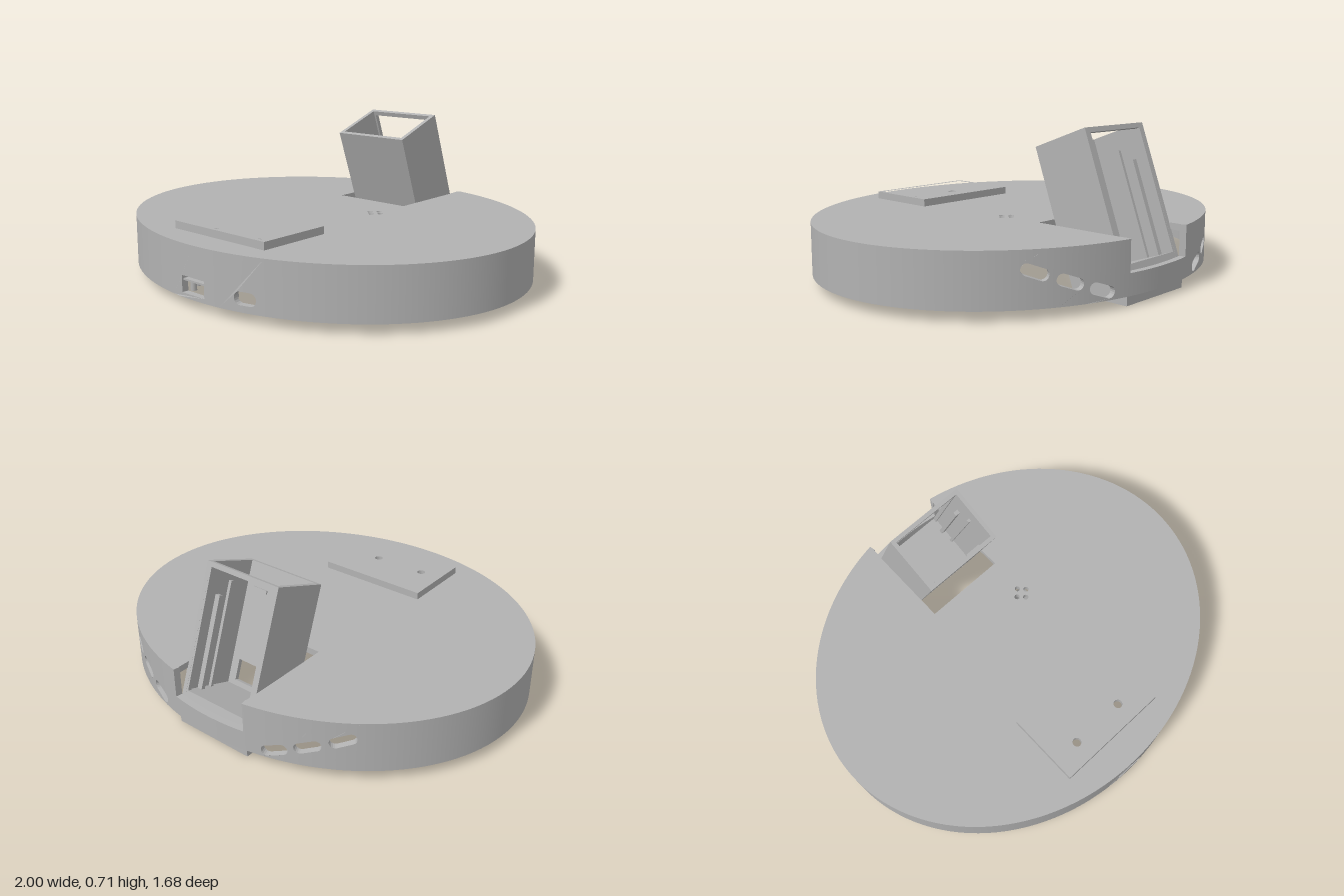
import * as THREE from 'three';
import { mergeGeometries } from 'three/addons/utils/BufferGeometryUtils.js';

const V = (x, y) => new THREE.Vector2(x, y);
const RX = 1, RZ = 0.842, WALL = 0.03, Y0 = 0.045, Y1 = 0.28, PLATE_Y = 0.25;
const TILT = THREE.MathUtils.degToRad(20), S = Math.sin(TILT), C = Math.cos(TILT);
const FOOT_Z = -0.532, TOWER_H = 0.649, TOWER_D = 0.288;

const rect = (x0, x1, y0, y1) => [V(x0, y0), V(x1, y0), V(x1, y1), V(x0, y1)];
const circle = (x, y, r, n = 20) => Array.from({ length: n }, (_, i) =>
  V(x + r * Math.cos(i / n * Math.PI * 2), y + r * Math.sin(i / n * Math.PI * 2)));

// rounded slot outline, tilted by t, squeezed along the first axis by k
function slot(cx, cy, half, r, t = 0, k = 1) {
  return Array.from({ length: 20 }, (_, i) => {
    const a = -Math.PI / 2 + (i % 10) / 9 * Math.PI + (i < 10 ? 0 : Math.PI);
    const x = (i < 10 ? 1 : -1) * (half - r) + r * Math.cos(a), y = r * Math.sin(a);
    return V(cx + (x * Math.cos(t) - y * Math.sin(t)) / k, cy + x * Math.sin(t) + y * Math.cos(t));
  });
}

function extrude(outline, holes, depth) {
  const shape = new THREE.Shape(outline);
  shape.holes = holes.map(h => new THREE.Path(h));
  return new THREE.ExtrudeGeometry(shape, { depth, bevelEnabled: false });
}

// outline in (x, z), raised from y0 to y1
function flat(outline, holes, y0, y1) {
  const flip = pts => pts.map(p => V(p.x, -p.y));
  return extrude(flip(outline), holes.map(flip), y1 - y0).rotateX(-Math.PI / 2).translate(0, y0, 0);
}

// outline in (z, y), extruded from x0 to x1
function slab(pts, x0, x1) {
  return extrude(pts.map(([z, y]) => V(-z, y)), [], x1 - x0).rotateY(Math.PI / 2).translate(x0, 0, 0);
}

// piece of the elliptical wall between two angles, drawn flat and then bent
function wallPanel(t0, t1, holes = [], top = Y1) {
  const n = holes.length ? 6 : 1, low = [], high = [];
  for (let i = 0; i <= n; i++) {
    const t = t0 + (t1 - t0) * i / n;
    low.push(V(t, Y0));
    high.unshift(V(t, top));
  }
  let g = extrude([...low, ...high], holes, 1);
  if (g.index) g = g.toNonIndexed();
  const p = g.attributes.position;
  for (let i = 0; i < p.count; i++) {
    const t = p.getX(i), inset = WALL * (1 - p.getZ(i));
    p.setXYZ(i, (RX - inset) * Math.sin(t), p.getY(i), (RZ - inset) * Math.cos(t));
  }
  g.computeVertexNormals();
  // smooth the curved faces, keep the cut edges sharp
  const nor = g.attributes.normal, e = new THREE.Vector3(), f = new THREE.Vector3();
  for (let i = 0; i < p.count; i++) {
    e.set(p.getX(i) / RX ** 2, 0, p.getZ(i) / RZ ** 2).normalize();
    const d = f.fromBufferAttribute(nor, i).dot(e);
    if (Math.abs(d) > 0.9) nor.setXYZ(i, e.x * Math.sign(d), 0, e.z * Math.sign(d));
  }
  return g;
}

function plainWall(t0, t1, top = Y1) {
  const n = Math.ceil((t1 - t0) / 0.05), out = [];
  for (let i = 0; i < n; i++) out.push(wallPanel(t0 + (t1 - t0) * i / n, t0 + (t1 - t0) * (i + 1) / n, [], top));
  return out;
}

// hollow post hanging from the plate
function tube(r, inner, y0, y1, boreTop) {
  const pts = [V(0, boreTop), V(inner, boreTop), V(inner, y0), V(r, y0), V(r, y1)];
  const parts = [];
  for (let i = 0; i < pts.length - 1; i++) parts.push(new THREE.LatheGeometry([pts[i], pts[i + 1]], 28));
  return mergeGeometries(parts);
}

export function createModel() {
  const model = new THREE.Group();
  const grey = new THREE.MeshStandardMaterial({ color: 0xb2b2b2 });
  grey.name = 'plain grey';
  const add = (name, geo, parent = model) => {
    const m = new THREE.Mesh(geo, grey);
    m.name = name;
    parent.add(m);
    return m;
  };

  // side wall: front port and slot, three sloping vents each side, low gap at the back
  const vents = [[2.498, 0.19], [2.650, 0.14], [2.798, 0.09]];
  const cuts = [2.42, 2.574, 2.724, 2.872], gap = Math.PI - 0.201;
  const wall = [
    wallPanel(-0.13, 0.15, [rect(-0.07, 0.07, 0.065, 0.14)]),
    wallPanel(0.15, 0.42, [slot(0.282, 0.103, 0.053, 0.028)]),
    ...plainWall(0.42, cuts[0]), ...plainWall(-cuts[0], -0.13),
    ...plainWall(cuts[3], gap), ...plainWall(-gap, -cuts[3]),
    ...plainWall(gap, 2 * Math.PI - gap, 0.14),
  ];
  vents.forEach(([t, y], i) => {
    wall.push(wallPanel(cuts[i], cuts[i + 1], [slot(t, y, 0.06, 0.025, -TILT, 0.95)]));
    wall.push(wallPanel(-cuts[i + 1], -cuts[i], [slot(-t, y, 0.06, 0.025, TILT, 0.95)]));
  });
  add('sideWall', mergeGeometries(wall));

  // top plate with the tower opening, display pocket, screw holes and sound holes
  const rim = [], N = 128, inset = 0.015;
  for (let i = 0; i <= N; i++) {
    const t = -gap + 2 * gap * i / N;
    rim.push(V((RX - inset) * Math.sin(t), (RZ - inset) * Math.cos(t)));
  }
  rim.push(V(0.2, -0.33), V(-0.2, -0.33));
  const pocket = [V(-0.22, 0.4), V(0.22, 0.4), V(0.22, 0.64), V(0.19, 0.64), V(0.19, 0.55), V(0.08, 0.55),
    V(0.08, 0.64), V(-0.08, 0.64), V(-0.08, 0.55), V(-0.19, 0.55), V(-0.19, 0.64), V(-0.22, 0.64)];
  const screws = [-0.135, 0.135].map(x => circle(x, 0.6, 0.021));
  const sound = [[0.03, 0], [-0.03, 0], [0, 0.03], [0, -0.03]].map(([x, z]) => circle(0.188 + x, -0.122 + z, 0.013, 14));
  add('topPlate', flat(rim, [pocket, ...screws, ...sound], PLATE_Y, Y1));
  add('displayFloor', flat(rect(-0.265, 0.265, 0.35, 0.69), screws, 0.275, 0.281));
  add('displayFrame', flat(rect(-0.28, 0.28, 0.342, 0.7), [rect(-0.26, 0.26, 0.354, 0.68)], Y1, 0.315));

  // feet, speaker ring and port guide pins under the plate
  for (const side of [-1, 1]) {
    for (const [x, z] of [[0.78, 0], [0.468, 0.537]])
      add('footPost', tube(0.043, 0.022, 0, 0.255, 0.12)).position.set(side * x, 0, z);
    for (const [x, z] of [[0.08, 0.77], [0.12, 0.715]])
      add('guidePin', new THREE.CylinderGeometry(0.014, 0.014, 0.2, 14)).position.set(side * x, 0.155, z);
  }
  add('speakerRing', tube(0.052, 0.036, 0.1, 0.255, 0.249)).position.set(0.188, 0, -0.122);
  add('portShelf', new THREE.BoxGeometry(0.13, 0.008, 0.03)).position.set(0, 0.122, 0.82);

  // leaning tower: side walls and sloping floor cut level at the bottom
  const P = (u, v) => [FOOT_Z + u * S - v * C, u * C + v * S];
  const backFoot = [[-0.81, 0.08], [-0.81, 0], [FOOT_Z, 0]];
  const sidePts = [P(TOWER_H, 0), P(TOWER_H, TOWER_D), ...backFoot];
  add('towerSide', slab(sidePts, 0.18, 0.2));
  add('towerSide', slab(sidePts, -0.2, -0.18));
  add('towerFloor', slab([P(0.065, 0), P(0.065, TOWER_D), ...backFoot], -0.18, 0.18));

  // parts square to the leaning axis
  const tower = new THREE.Group();
  tower.name = 'towerInner';
  tower.position.z = FOOT_Z;
  tower.rotation.x = TILT;
  model.add(tower);
  const box = (name, x0, x1, y0, y1, z0, z1) =>
    add(name, new THREE.BoxGeometry(x1 - x0, y1 - y0, z1 - z0), tower)
      .position.set((x0 + x1) / 2, (y0 + y1) / 2, (z0 + z1) / 2);
  add('towerFront', extrude(rect(-0.18, 0.18, 0, TOWER_H), [rect(-0.14, 0.14, 0.09, 0.19)], 0.02)
    .translate(0, 0, -0.02), tower);
  box('backTopBar', -0.18, 0.18, 0.627, TOWER_H, -TOWER_D, -TOWER_D + 0.02);
  for (const s of [-1, 1]) {
    const span = (a, b) => (s > 0 ? [a, b] : [-b, -a]);
    box('backEdge', ...span(0.17, 0.181), 0.06, TOWER_H, -TOWER_D, -TOWER_D + 0.02);
    box('innerRail', ...span(0.155, 0.181), 0.06, 0.5, -0.22, -0.2);
    box('innerRail', ...span(0.165, 0.181), 0.06, 0.56, -0.15, -0.135);
    box('frontRib', ...span(0.06, 0.14), 0.525, 0.54, -0.027, -0.02);
  }
  return model;
}
